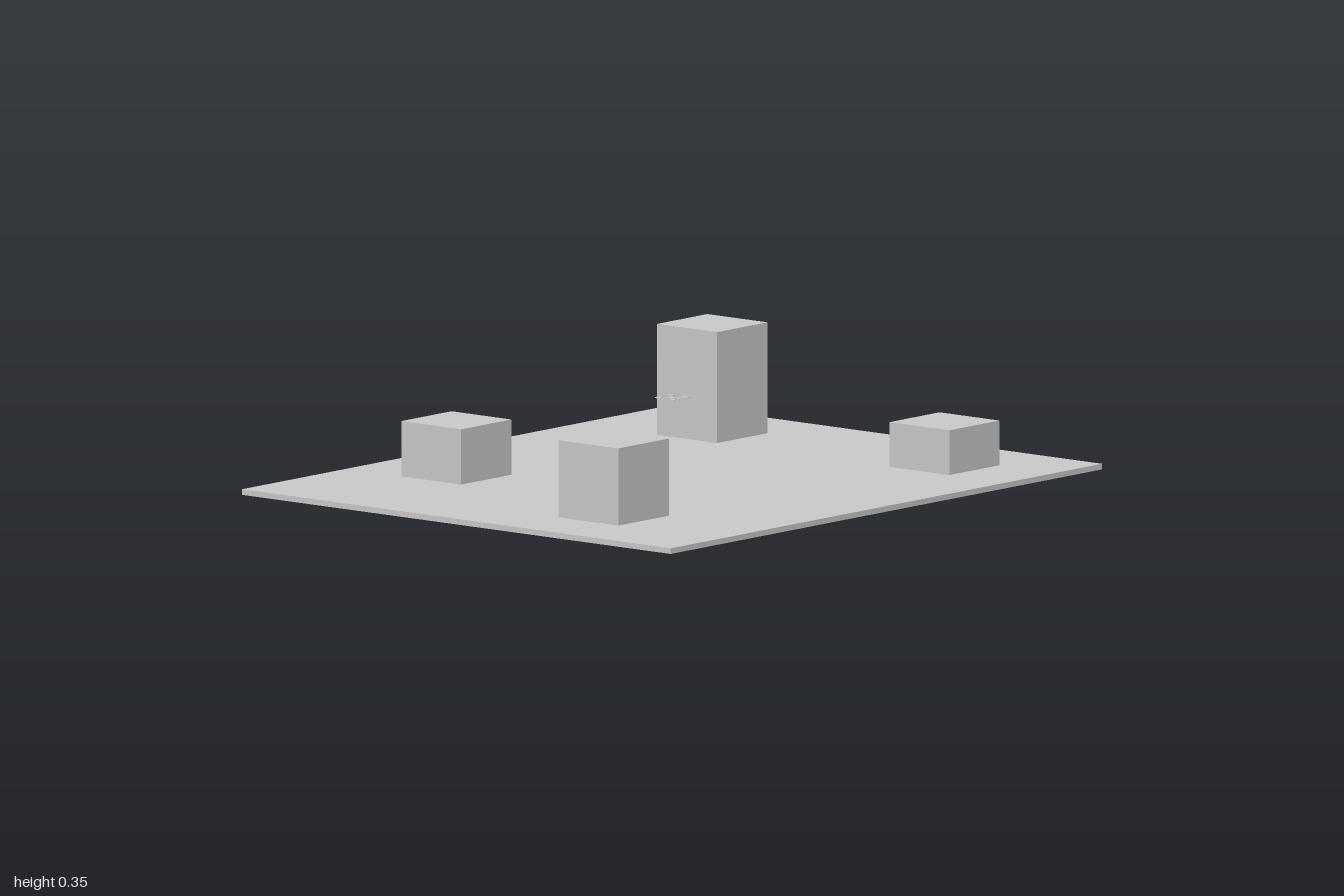
import * as THREE from 'three';

const material = new THREE.MeshStandardMaterial({ color: 0xcccccc, flatShading: true });

function add(parent, name, geometry, x, y, z) {
  const mesh = new THREE.Mesh(geometry, material);
  mesh.name = name;
  mesh.position.set(x, y, z);
  parent.add(mesh);
  return mesh;
}

// Small quadcopter: body, crossed arms, four rotors
function createDrone() {
  const drone = new THREE.Group();
  drone.name = 'drone';
  add(drone, 'droneBody', new THREE.BoxGeometry(0.02, 0.007, 0.02), 0, 0, 0);
  const reach = 0.028;
  for (const sx of [-1, 1]) {
    const arm = add(drone, 'droneArm', new THREE.BoxGeometry(reach * 2.83, 0.003, 0.005), 0, 0.001, 0);
    arm.rotation.y = sx * Math.PI / 4;
    for (const sz of [-1, 1]) {
      add(drone, 'motor', new THREE.CylinderGeometry(0.004, 0.004, 0.005, 12), sx * reach, 0.002, sz * reach);
      add(drone, 'rotor', new THREE.CylinderGeometry(0.011, 0.011, 0.002, 20), sx * reach, 0.004, sz * reach);
    }
  }
  return drone;
}

export function createModel() {
  const model = new THREE.Group();
  model.name = 'droneField';

  // Ground slab
  const slab = 0.017;
  add(model, 'groundSlab', new THREE.BoxGeometry(2, slab, 1.667), 0, slab / 2, 0);

  // Square blocks standing on the slab: x, z, height
  const blocks = [
    [-0.667, 0.333, 0.233],
    [-0.4, -0.503, 0.167],
    [0.667, -0.403, 0.335],
    [0.667, 0.5, 0.135],
  ];
  for (const [x, z, h] of blocks) {
    add(model, 'buildingBlock', new THREE.BoxGeometry(0.233, h, 0.233), x, slab + h / 2, z);
  }

  // Drone hovering over the centre
  const drone = createDrone();
  drone.position.y = 0.252;
  model.add(drone);
  return model;
}
